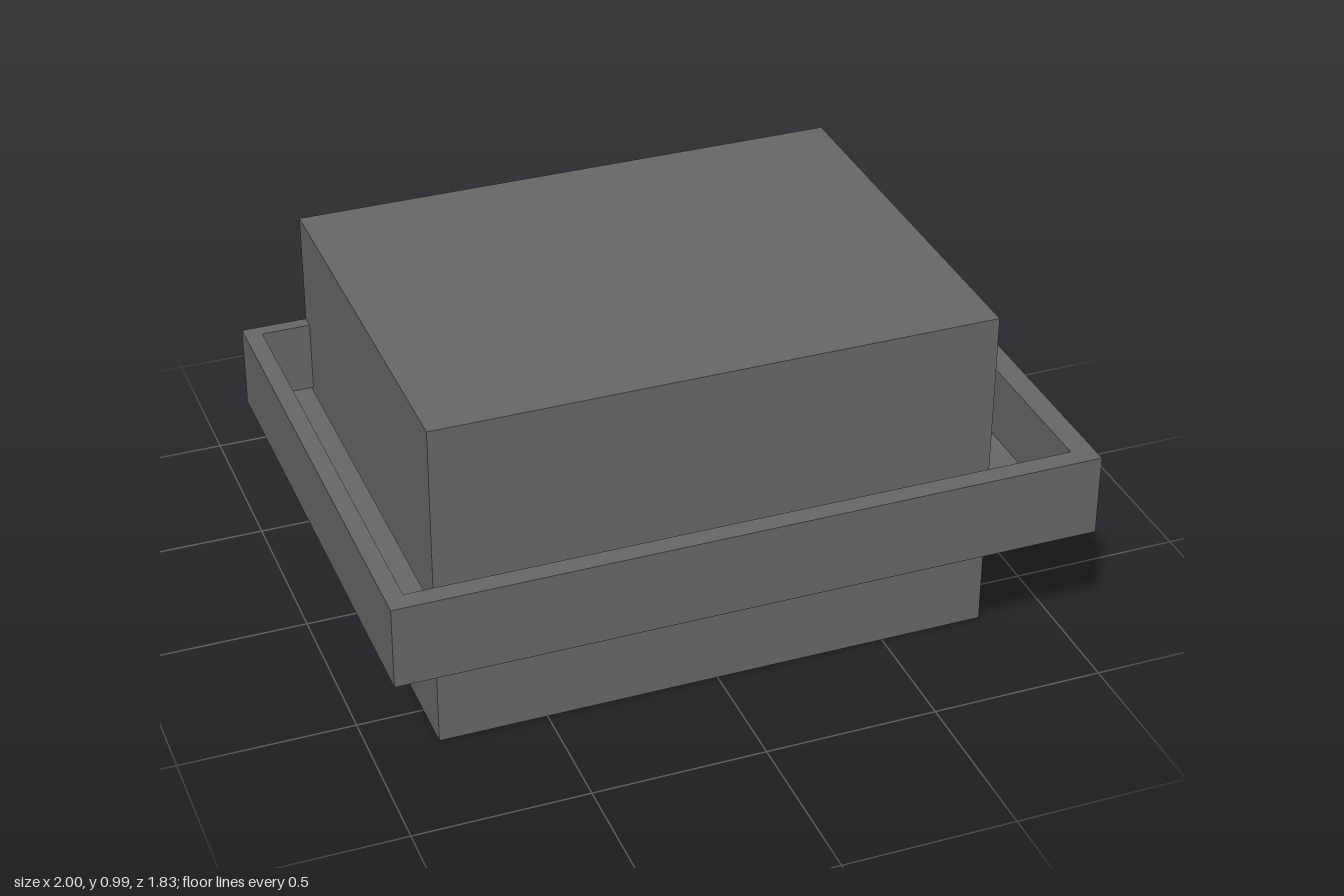
import * as THREE from 'three';

export function createModel() {
  const group = new THREE.Group();
  const concrete = new THREE.MeshStandardMaterial({ color: 0x666666 });
  concrete.name = 'concrete grey';

  const add = (name, geometry) => {
    const mesh = new THREE.Mesh(geometry, concrete);
    mesh.name = name;
    group.add(mesh);
  };

  // Box given by its lower and upper limits on each axis
  const box = (name, [x0, x1], [y0, y1], [z0, z1]) => {
    const g = new THREE.BoxGeometry(x1 - x0, y1 - y0, z1 - z0);
    g.translate((x0 + x1) / 2, (y0 + y1) / 2, (z0 + z1) / 2);
    add(name, g);
  };

  // Flat plan outline of [x, z] points, raised from y0 to y1
  const slab = (name, points, y0, y1) => {
    const shape = new THREE.Shape(points.map(([x, z]) => new THREE.Vector2(x, -z)));
    const g = new THREE.ExtrudeGeometry(shape, { depth: y1 - y0, bevelEnabled: false });
    g.rotateX(-Math.PI / 2);
    g.translate(0, y0, 0);
    add(name, g);
  };

  // Main block
  box('body', [-0.81, 0.803], [0, 0.99], [-0.56, 0.645]);

  // Balcony floor wrapping three sides
  slab('balconyFloor', [
    [-1, -0.56], [-1, 0.912], [1, 0.912], [1, -0.56],
    [0.803, -0.56], [0.803, 0.65], [-0.815, 0.65], [-0.815, -0.56],
  ], 0.42, 0.45);

  // Parapet along the outer edge, returning to the body at the back
  slab('balconyParapet', [
    [-1, -0.56], [-1, 0.912], [1, 0.912], [1, -0.56],
    [0.803, -0.56], [0.803, -0.51], [0.935, -0.51], [0.935, 0.855],
    [-0.95, 0.855], [-0.95, -0.52], [-0.81, -0.52], [-0.81, -0.56],
  ], 0.45, 0.66);

  // Rear platform with its end panel and two support posts
  box('rearPlatform', [-0.197, 0.172], [0.455, 0.522], [-0.908, -0.56]);
  box('rearPanel', [-0.257, 0.235], [0.415, 0.577], [-0.917, -0.907]);
  for (const x of [-0.158, 0.143]) {
    box('platformPost', [x - 0.0125, x + 0.0125], [0.005, 0.456], [-0.897, -0.872]);
  }

  return group;
}
